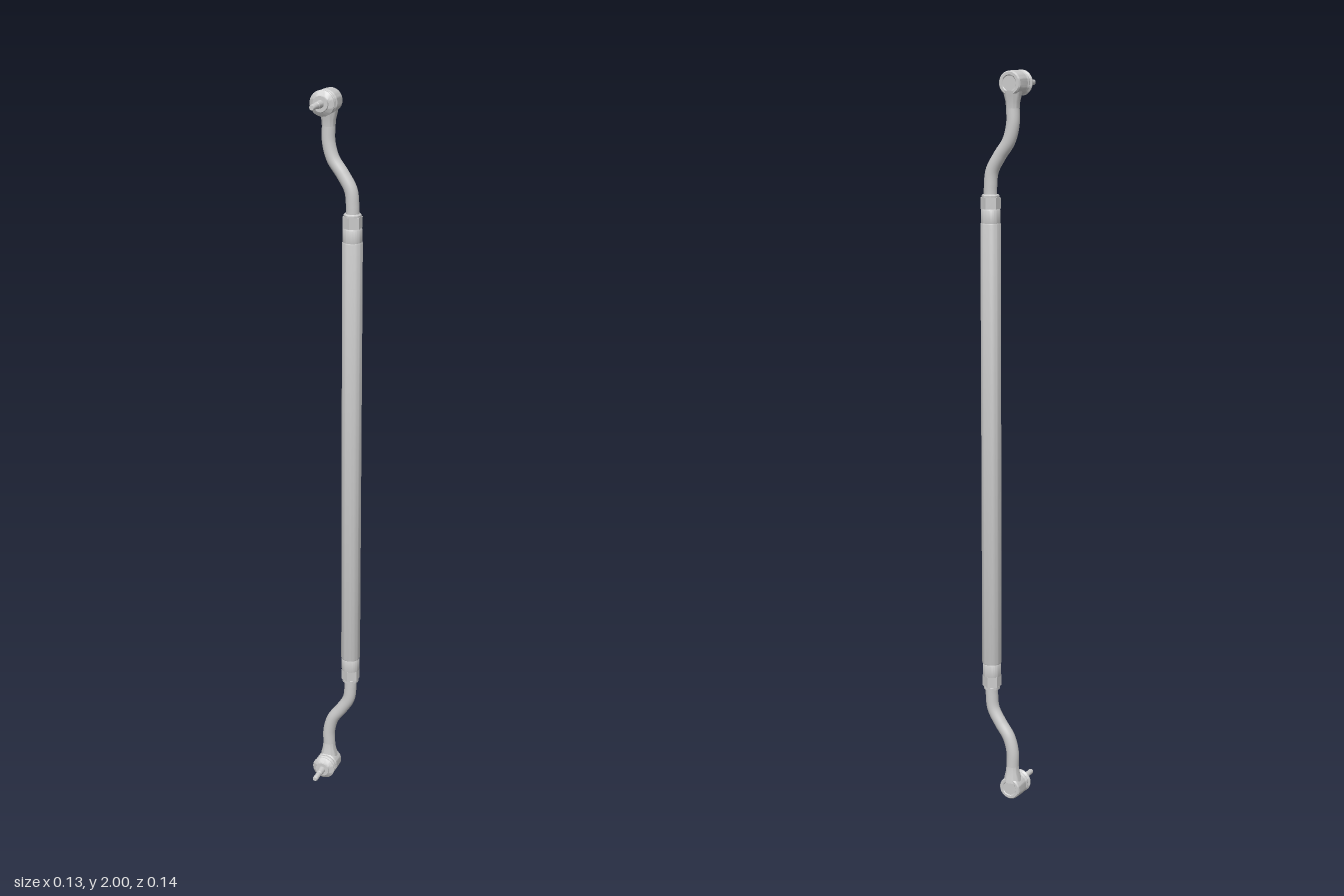
import * as THREE from 'three';
import { toCreasedNormals } from 'three/addons/utils/BufferGeometryUtils.js';

const material = new THREE.MeshStandardMaterial({ color: 0xcccccc });
const ROD_X = 0.035, ROD_Z = -0.045, BALL_X = -0.031;

function addMesh(parent, name, geometry, x = 0, y = 0, z = 0) {
  const mesh = new THREE.Mesh(geometry, material);
  mesh.name = name;
  mesh.position.set(x, y, z);
  parent.add(mesh);
  return mesh;
}

// Turned part: pairs of [radius, height], listed from the bottom up
function turned(profile, segments = 40) {
  const points = profile.map(([r, h]) => new THREE.Vector2(r, h));
  return toCreasedNormals(new THREE.LatheGeometry(points, segments), 0.5);
}

// Same, but turned around the z axis
const turnedZ = (profile, segments) => turned(profile, segments).rotateX(Math.PI / 2);

// One end of the rod; side is +1 for the upper end and -1 for the lower
function createEnd(side) {
  const end = new THREE.Group();
  end.name = side > 0 ? 'upperEnd' : 'lowerEnd';
  const at = y => 1 + side * (y - 1);

  // Swaged sleeve and six-sided lock nut at the mouth of the tube
  addMesh(end, 'sleeve', turned([
    [0, -0.019], [0.025, -0.019], [0.0255, -0.016], [0.0255, 0.016], [0.024, 0.019], [0, 0.019],
  ]), ROD_X, at(1.628), ROD_Z);
  const nut = new THREE.CylinderGeometry(0.0265, 0.0265, 0.03, 6);
  addMesh(end, 'lockNut', toCreasedNormals(nut, 0.5), ROD_X, at(1.662), ROD_Z);
  addMesh(end, 'nutCollar', turned([
    [0, -0.005], [0.023, -0.005], [0.023, 0.002], [0.02, 0.005], [0, 0.005],
  ]), ROD_X, at(1.68), ROD_Z);

  // S-bent arm
  const path = new THREE.CatmullRomCurve3([
    [ROD_X, 1.66], [ROD_X, 1.705], [0.03, 1.745], [0.007, 1.785],
    [-0.019, 1.822], [-0.031, 1.865], [BALL_X, 1.91], [BALL_X, 1.955],
  ].map(([x, y]) => new THREE.Vector3(x, at(y), ROD_Z)));
  addMesh(end, 'bentArm', new THREE.TubeGeometry(path, 64, 0.0175, 24));

  // Flared neck where the arm meets the housing
  const neck = turned([[0.0175, -0.025], [0.019, -0.008], [0.023, 0.008], [0.025, 0.02]]);
  if (side < 0) neck.rotateX(Math.PI);
  addMesh(end, 'neck', neck, BALL_X, at(1.93), ROD_Z);

  // Ball joint: housing with a recessed back cap, rubber boot, tapered stud
  const joint = new THREE.Group();
  joint.name = 'ballJoint';
  joint.position.set(BALL_X, at(1.968), 0);
  end.add(joint);
  addMesh(joint, 'housing', turnedZ([
    [0, -0.064], [0.019, -0.064], [0.021, -0.066], [0.028, -0.066], [0.031, -0.062],
    [0.032, -0.045], [0.032, -0.024], [0.029, -0.02], [0.029, -0.018], [0, -0.018],
  ]));
  addMesh(joint, 'boot', turnedZ([
    [0, -0.02], [0.029, -0.02], [0.032, -0.014], [0.031, -0.011], [0.027, -0.008],
    [0.029, -0.005], [0.033, -0.002], [0.033, 0.001], [0.028, 0.005],
    [0.021, 0.009], [0.02, 0.013], [0, 0.013],
  ]));
  addMesh(joint, 'stud', turnedZ([
    [0, 0.01], [0.0105, 0.01], [0.0085, 0.036], [0.0075, 0.037],
    [0.0075, 0.065], [0.006, 0.068], [0, 0.068],
  ], 24));
  return end;
}

export function createModel() {
  const model = new THREE.Group();
  model.name = 'linkRod';

  // Long straight tube
  addMesh(model, 'tube', turned([
    [0, -0.61], [0.026, -0.61], [0.027, -0.607], [0.027, 0.607], [0.026, 0.61], [0, 0.61],
  ]), ROD_X, 1, ROD_Z);

  for (const side of [1, -1]) model.add(createEnd(side));
  return model;
}
